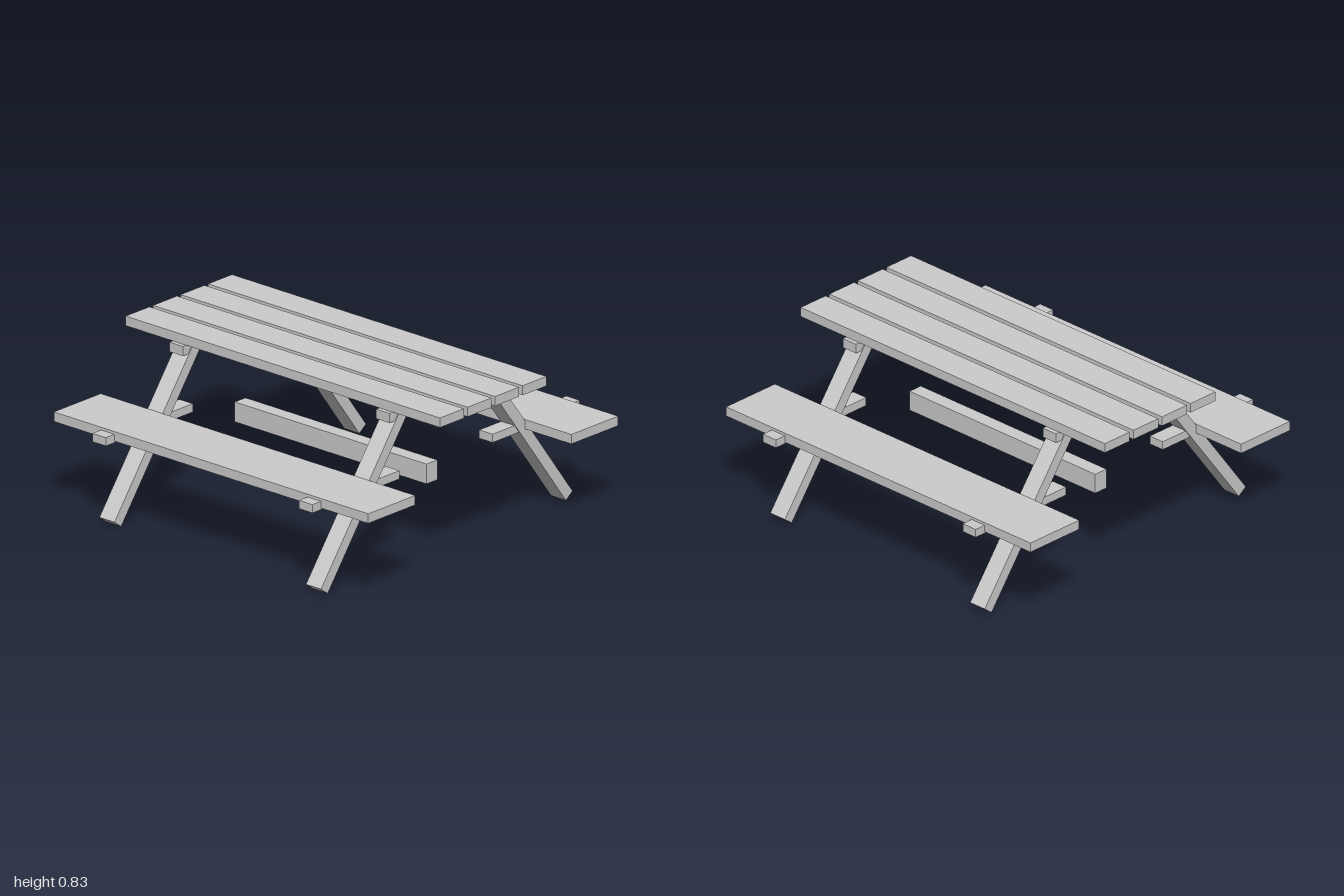
import * as THREE from 'three';

const material = new THREE.MeshStandardMaterial({ color: 0xcccccc, flatShading: true });

// A wooden board given by its size and centre.
function board(name, size, centre) {
  const mesh = new THREE.Mesh(new THREE.BoxGeometry(...size), material);
  mesh.name = name;
  mesh.position.set(...centre);
  return mesh;
}

export function createModel() {
  const table = new THREE.Group();
  table.name = 'picnicTable';

  // Four tabletop planks
  for (const z of [-0.288, -0.096, 0.096, 0.288]) {
    table.add(board('tabletopPlank', [2, 0.048, 0.167], [0, 0.806, z]));
  }

  // Bench seats at front and back
  for (const side of [-1, 1]) {
    table.add(board('benchSeat', [2, 0.048, 0.328], [0, 0.465, side * 0.709]));
  }

  // Two end frames: top cross beam, splayed legs and bench supports
  const foot = { y: 0.018, z: 0.855 };
  const head = { y: 0.782, z: 0.287 };
  const rise = head.y - foot.y;
  const run = foot.z - head.z;
  for (const x of [-0.657, 0.657]) {
    const frame = new THREE.Group();
    frame.name = 'endFrame';
    frame.position.x = x;
    frame.add(board('tabletopBeam', [0.085, 0.048, 0.788], [0, 0.758, 0]));
    for (const side of [-1, 1]) {
      const leg = board('leg', [0.096, Math.hypot(rise, run), 0.058],
        [0, (foot.y + head.y) / 2, side * (foot.z + head.z) / 2]);
      leg.rotation.x = -side * Math.atan2(run, rise);
      frame.add(leg);
      frame.add(board('benchSupport', [0.085, 0.042, 0.608], [0, 0.454, side * 0.629]));
    }
    table.add(frame);
  }

  // Long stretcher between the frames
  table.add(board('stretcher', [1.22, 0.1, 0.075], [0, 0.354, 0]));

  return table;
}
